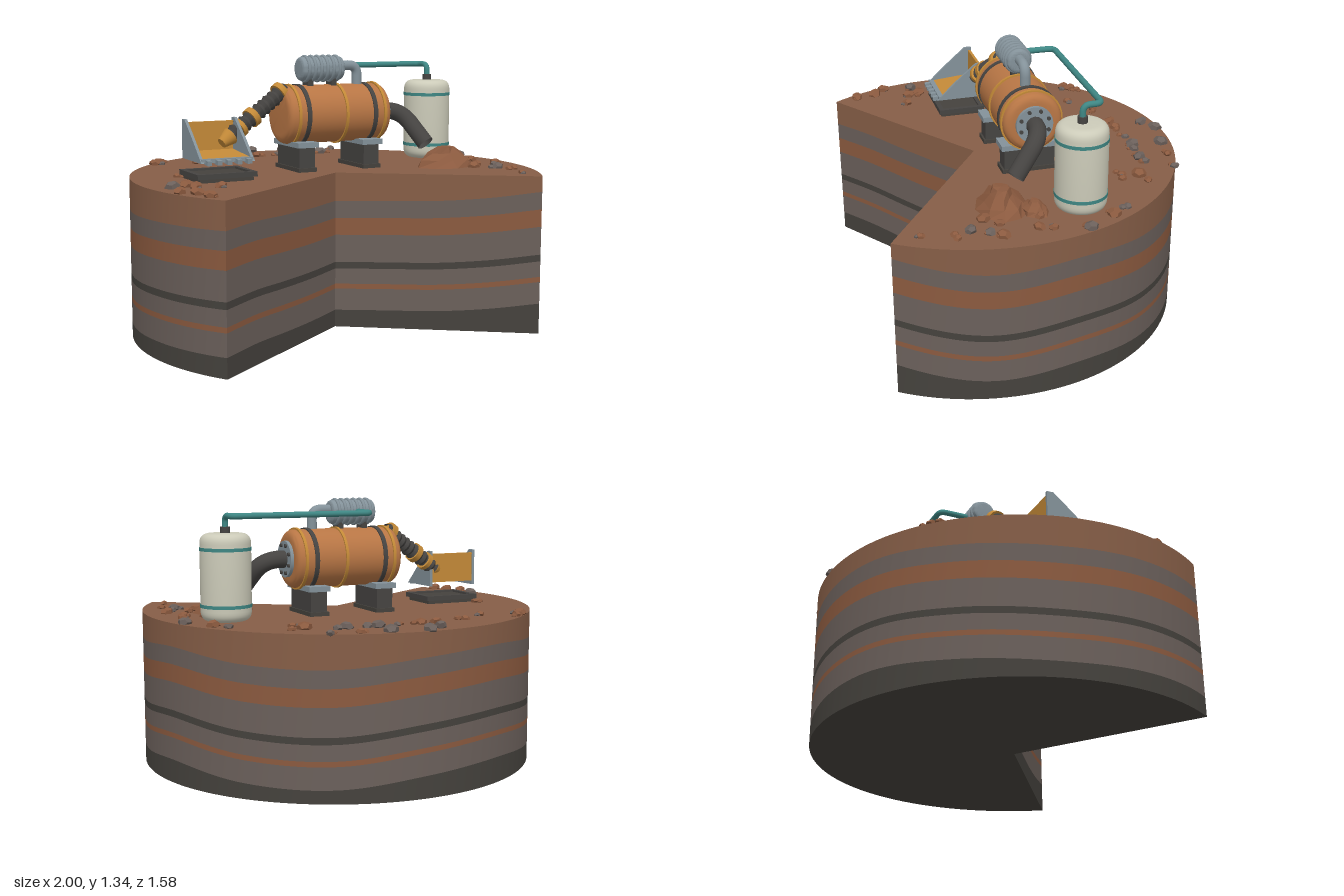
import * as THREE from 'three';
import { mergeGeometries, toCreasedNormals } from 'three/addons/utils/BufferGeometryUtils.js';

const V = (x, y, z) => new THREE.Vector3(x, y, z);
const mat = (name, color, side = THREE.FrontSide) => {
  const m = new THREE.MeshStandardMaterial({ color, side });
  m.name = name;
  return m;
};

export function createModel() {
  const M = {
    soil: mat('soil', 0x865e47), clay: mat('clay', 0x8b5a3f), rock: mat('rock', 0x6b605b),
    charcoal: mat('charcoal', 0x45423d), copper: mat('copper', 0xb87645), amber: mat('amber', 0xc48a38),
    steel: mat('steel', 0x84929a), rubber: mat('rubber', 0x464442, THREE.DoubleSide),
    cream: mat('cream', 0xcccbb9), teal: mat('teal', 0x3f8784),
  };
  const root = new THREE.Group();
  root.name = 'miningRig';
  const group = (name, parent = root) => {
    const g = new THREE.Group();
    g.name = name;
    parent.add(g);
    return g;
  };
  const add = (parent, name, geo, m, x = 0, y = 0, z = 0) => {
    const mesh = new THREE.Mesh(geo, m);
    mesh.name = name;
    mesh.position.set(x, y, z);
    parent.add(mesh);
    return mesh;
  };
  const box = (p, name, m, w, h, d, x, y, z) => add(p, name, new THREE.BoxGeometry(w, h, d), m, x, y, z);
  const cyl = (p, name, m, r, h, y, r2 = r) => add(p, name, new THREE.CylinderGeometry(r2, r, h, 32), m, 0, y, 0);
  let seed = 7;
  const rnd = () => (seed = (seed * 16807) % 2147483647) / 2147483647;

  // Closed vessel with rounded shoulders, standing along y
  const vessel = (r, len, c) => {
    const p = new THREE.Path();
    p.moveTo(0, -len / 2);
    p.lineTo(r - c, -len / 2);
    p.quadraticCurveTo(r, -len / 2, r, -len / 2 + c);
    p.lineTo(r, len / 2 - c);
    p.quadraticCurveTo(r, len / 2, r - c, len / 2);
    p.lineTo(0, len / 2);
    return toCreasedNormals(new THREE.LatheGeometry(p.getPoints(8), 40), 0.6);
  };
  // Pipe through points with rounded corners
  const pipe = (p, name, m, pts, r, bend) => {
    const path = new THREE.CurvePath();
    let from = pts[0];
    for (let i = 1; i < pts.length - 1; i++) {
      const a = pts[i].clone().add(pts[i - 1].clone().sub(pts[i]).setLength(bend));
      const b = pts[i].clone().add(pts[i + 1].clone().sub(pts[i]).setLength(bend));
      path.add(new THREE.LineCurve3(from, a));
      path.add(new THREE.QuadraticBezierCurve3(a, pts[i], b));
      from = b;
    }
    path.add(new THREE.LineCurve3(from, pts[pts.length - 1]));
    return add(p, name, new THREE.TubeGeometry(path, 90, r, 14), m);
  };

  // ---- Ground: round block with a wedge cut out, walls in wavy strata
  const ground = group('ground');
  const CZ = 0.215, A0 = Math.atan2(0.57, 0.82), SWEEP = Math.PI + 2 * A0;
  const arc = t => [Math.cos(A0 - t * SWEEP), CZ + Math.sin(A0 - t * SWEEP)];
  const ax = Math.cos(A0), az = Math.sin(A0);
  const wave = ys => {
    const c = new THREE.CatmullRomCurve3(ys.map((y, i) => V(i * 0.1, y, 0)), false, 'catmullrom', 0.5);
    return t => c.getPoint(t).y;
  };
  const runs = [
    { n: 24, at: t => [-ax * (1 - t), CZ + az * (1 - t)], h: wave([0, 0.004, -0.006, -0.012, -0.01]) },
    { n: 24, at: t => [ax * t, CZ + az * t], h: wave([-0.01, -0.005, 0, 0.02, 0.055]) },
    { n: 96, at: arc, h: wave([0.055, 0, 0.018, -0.02, -0.03, 0.012, 0.03, 0, -0.02, -0.008, 0]) },
  ];
  const TOP = 0.775;
  const levels = [TOP, 0.645, 0.56, 0.475, 0.338, 0.305, 0.228, 0.203, 0.095, 0];
  const layers = ['soil', 'rock', 'clay', 'rock', 'charcoal', 'rock', 'clay', 'rock', 'charcoal'];
  const height = (i, h) => levels[i] + (i === 0 || i === levels.length - 1 ? 0 : h);
  layers.forEach((m, i) => {
    const parts = runs.map(run => {
      const pos = [], idx = [];
      for (let k = 0; k <= run.n; k++) {
        const t = k / run.n, [x, z] = run.at(t), h = run.h(t);
        pos.push(x, height(i + 1, h), z, x, height(i, h), z);
        if (k) {
          const b = 2 * k;
          idx.push(b - 2, b, b + 1, b - 2, b + 1, b - 1);
        }
      }
      const g = new THREE.BufferGeometry();
      g.setAttribute('position', new THREE.Float32BufferAttribute(pos, 3));
      g.setIndex(idx);
      g.computeVertexNormals();
      return g;
    });
    add(ground, 'stratum' + (i + 1), mergeGeometries(parts), M[m]);
  });
  const sector = sign => {
    const pts = [new THREE.Vector2(0, sign * CZ)];
    for (let k = 0; k <= 96; k++) {
      const [x, z] = arc(k / 96);
      pts.push(new THREE.Vector2(x, sign * z));
    }
    return new THREE.ShapeGeometry(new THREE.Shape(pts)).rotateX(sign * Math.PI / 2);
  };
  add(ground, 'groundTop', sector(-1), M.soil, 0, TOP, 0);
  add(ground, 'groundBottom', sector(1), M.charcoal);

  // ---- Main drum lying along x, with bands, end flange and saddles
  const drum = group('drum');
  drum.position.set(0.075, 1.05, 0.01);
  drum.rotation.z = -Math.PI / 2;
  add(drum, 'drumBody', vessel(0.145, 0.57, 0.045), M.copper);
  for (const x of [-0.185, 0.185]) cyl(drum, 'darkBand', M.rubber, 0.151, 0.022, x);
  for (const x of [-0.235, 0.025, 0.24]) cyl(drum, 'amberBand', M.amber, 0.153, 0.014, x);
  cyl(drum, 'endFlange', M.steel, 0.09, 0.022, 0.29);
  for (let i = 0; i < 8; i++) {
    const a = (i + 0.5) * Math.PI / 4;
    const bolt = cyl(drum, 'flangeBolt', M.rubber, 0.009, 0.01, 0.305);
    bolt.position.x = 0.072 * Math.cos(a);
    bolt.position.z = 0.072 * Math.sin(a);
  }
  for (const x of [-0.115, 0.245]) {
    const foot = group('saddle');
    foot.position.set(x, 0, 0.01);
    box(foot, 'footBlock', M.rubber, 0.085, 0.135, 0.25, 0, 0.835, 0);
    box(foot, 'footBase', M.charcoal, 0.1, 0.02, 0.27, 0, 0.785, 0);
    box(foot, 'footCap', M.steel, 0.112, 0.026, 0.28, 0, 0.908, 0);
  }

  // ---- Discharge hose
  pipe(root, 'dischargeHose', M.rubber,
    [V(0.37, 1.05, 0.01), V(0.485, 1.05, 0.015), V(0.555, 0.885, 0.155)], 0.043, 0.09);

  // ---- Ribbed canister above the drum, with its elbow pipe
  const canister = group('canister');
  canister.position.set(0.015, 1.275, 0.015);
  canister.rotation.z = -Math.PI / 2;
  add(canister, 'canisterBody', vessel(0.06, 0.235, 0.02), M.steel);
  for (let i = 0; i < 6; i++)
    add(canister, 'coolingRib', new THREE.TorusGeometry(0.06, 0.009, 8, 32).rotateX(Math.PI / 2), M.steel, 0, -0.085 + i * 0.034, 0);
  for (const x of [-0.05, 0.08]) box(root, 'canisterMount', M.rubber, 0.03, 0.05, 0.06, x, 1.205, 0.015);
  pipe(root, 'elbowPipe', M.steel, [V(0.12, 1.288, 0.015), V(0.225, 1.288, 0.015), V(0.225, 1.17, 0.015)], 0.025, 0.05);

  // ---- Storage tank and the line that feeds it
  const tank = group('storageTank');
  tank.position.set(0.72, 0, -0.105);
  add(tank, 'tankBody', vessel(0.121, 0.415, 0.05), M.cream, 0, 0.988, 0);
  for (const y of [0.855, 1.122]) cyl(tank, 'tankBand', M.teal, 0.123, 0.016, y);
  cyl(tank, 'tankCap', M.rubber, 0.023, 0.04, 1.205);
  pipe(root, 'feedLine', M.teal, [V(0, 1.277, -0.03), V(0, 1.277, -0.195), V(0.72, 1.277, -0.195),
    V(0.72, 1.277, -0.105), V(0.72, 1.2, -0.105)], 0.0145, 0.035);

  // ---- Corrugated intake arm
  const arm = group('intakeArm');
  const a = V(-0.18, 1.18, 0.02), b = V(-0.55, 0.935, 0.095);
  const len = a.distanceTo(b);
  arm.position.copy(a);
  arm.quaternion.setFromUnitVectors(V(0, 1, 0), b.clone().sub(a).normalize());
  const folds = [];
  for (let i = 0; i <= 24; i++) folds.push(new THREE.Vector2(i % 2 ? 0.042 : 0.032, (i / 24) * (len - 0.04)));
  add(arm, 'corrugatedHose', toCreasedNormals(new THREE.LatheGeometry(folds, 24), 0.5), M.rubber);
  cyl(arm, 'upperCollar', M.amber, 0.053, 0.03, 0.035);
  cyl(arm, 'middleCollar', M.amber, 0.049, 0.03, len * 0.53);
  cyl(arm, 'lowerCollar', M.amber, 0.047, 0.022, len * 0.72);
  cyl(arm, 'nozzle', M.amber, 0.044, 0.06, len - 0.03, 0.025);

  // ---- Scoop with side plates and teeth
  const scoop = group('scoop');
  const sx = -0.6;
  box(scoop, 'scoopBack', M.amber, 0.25, 0.15, 0.014, sx, 0.965, 0.06);
  box(scoop, 'scoopFloor', M.amber, 0.25, 0.014, 0.225, sx, 0.887, 0.168).rotation.x = 0.09;
  box(scoop, 'scoopLip', M.steel, 0.26, 0.018, 0.025, sx, 0.878, 0.275);
  const plate = new THREE.Shape([[-0.05, 0.87], [-0.05, 1.055], [-0.085, 1.055], [-0.19, 0.965], [-0.295, 0.868]]
    .map(p => new THREE.Vector2(...p)));
  const plateGeo = new THREE.ExtrudeGeometry(plate, { depth: 0.014, bevelEnabled: false }).rotateY(Math.PI / 2);
  for (const s of [-1, 1]) add(scoop, 'scoopSide', plateGeo, M.steel, sx + s * 0.127 - 0.007, 0, 0);
  for (let i = 0; i < 5; i++)
    box(scoop, 'scoopTooth', M.steel, 0.022, 0.022, 0.05, sx - 0.1 + i * 0.05, 0.872, 0.29).rotation.x = 0.1;

  // ---- Low tray below the scoop
  const tray = group('tray');
  box(tray, 'trayBase', M.charcoal, 0.27, 0.025, 0.215, sx, 0.785, 0.168);
  box(tray, 'trayPlate', M.charcoal, 0.27, 0.012, 0.215, sx, 0.801, 0.168);
  for (const s of [-1, 1]) {
    box(tray, 'trayRail', M.rubber, 0.3, 0.024, 0.024, sx, 0.805, 0.168 + s * 0.108);
    box(tray, 'trayRail', M.rubber, 0.024, 0.024, 0.24, sx + s * 0.138, 0.805, 0.168);
  }

  // ---- Faceted spoil heap and boulders
  const heap = (name, r, h, x, z, sz) => {
    const pts = [[1, 0], [0.8, 0.38], [0.5, 0.72], [0.3, 1], [0, 1.02]].map(p => new THREE.Vector2(p[0] * r, p[1] * h));
    const g = new THREE.LatheGeometry(pts.reverse(), 9);
    const p = g.attributes.position;
    const jitter = Array.from({ length: 45 }, () => 0.82 + rnd() * 0.36);
    for (let i = 0; i < p.count; i++) {
      const ring = i % 5, k = jitter[(Math.floor(i / 5) % 9) * 5 + ring];
      p.setXYZ(i, p.getX(i) * k, ring ? p.getY(i) * (0.75 + k / 4) : p.getY(i), p.getZ(i) * k * sz);
    }
    const idx = Array.from(g.index.array);
    for (let i = 0; i < idx.length; i += 3) [idx[i], idx[i + 1]] = [idx[i + 1], idx[i]];
    g.setIndex(idx);
    const flat = g.toNonIndexed();
    flat.computeVertexNormals();
    add(root, name, flat, M.clay, x, TOP, z);
  };
  heap('spoilHeap', 0.165, 0.098, 0.615, 0.24, 0.68);
  heap('smallHeap', 0.085, 0.05, 0.69, 0.105, 0.75);

  // ---- Loose stones around the rim, as x, z pairs
  const spots = [-0.69, -0.47, -0.66, -0.5, -0.63, -0.53, -0.34, -0.53, -0.48, -0.43, -0.02, -0.76, -0.1, -0.71,
    0.16, -0.72, 0.3, -0.7, 0.44, -0.68, 0.05, -0.57, -0.08, -0.56, -0.16, -0.56, 0.15, -0.57, 0.2, -0.56,
    0.3, -0.55, 0.35, -0.56, 0.48, -0.48, 0.5, -0.39, 0.46, -0.4, 0.55, -0.5, 0.78, -0.31, 0.83, -0.23,
    0.92, -0.09, 0.88, 0.07, 0.86, 0.13, 0.76, 0.1, 0.78, 0.29, 0.72, 0.35, 0.85, 0.35, 0.89, 0.3, 0.81, 0.43,
    0.86, 0.5, 0.8, 0.65, -0.9, 0.36, -0.82, 0.33, -0.8, 0.39, -0.69, 0.42, -0.92, 0.51, -0.84, 0.67,
    -0.86, 0.57, -0.75, 0.02];
  const stones = group('looseStones');
  const stoneGeo = new THREE.DodecahedronGeometry(1, 0);
  for (let i = 0; i < spots.length; i += 2) {
    for (let k = 0; k < 2; k++) {
      const r = k ? 0.012 + rnd() * 0.01 : 0.022 + rnd() * 0.018, off = k ? 0.035 : 0;
      const x = spots[i] - Math.sign(spots[i]) * off * rnd(), z = spots[i + 1] + off * (rnd() - 0.3);
      const s = add(stones, 'stone', stoneGeo, rnd() < 0.4 ? M.rock : M.clay, x, TOP + r * 0.25, z);
      s.scale.set(r, r * 0.65, r * (0.75 + rnd() * 0.3));
      s.rotation.set(rnd() * 0.4, rnd() * 6, rnd() * 0.4);
    }
  }
  return root;
}
